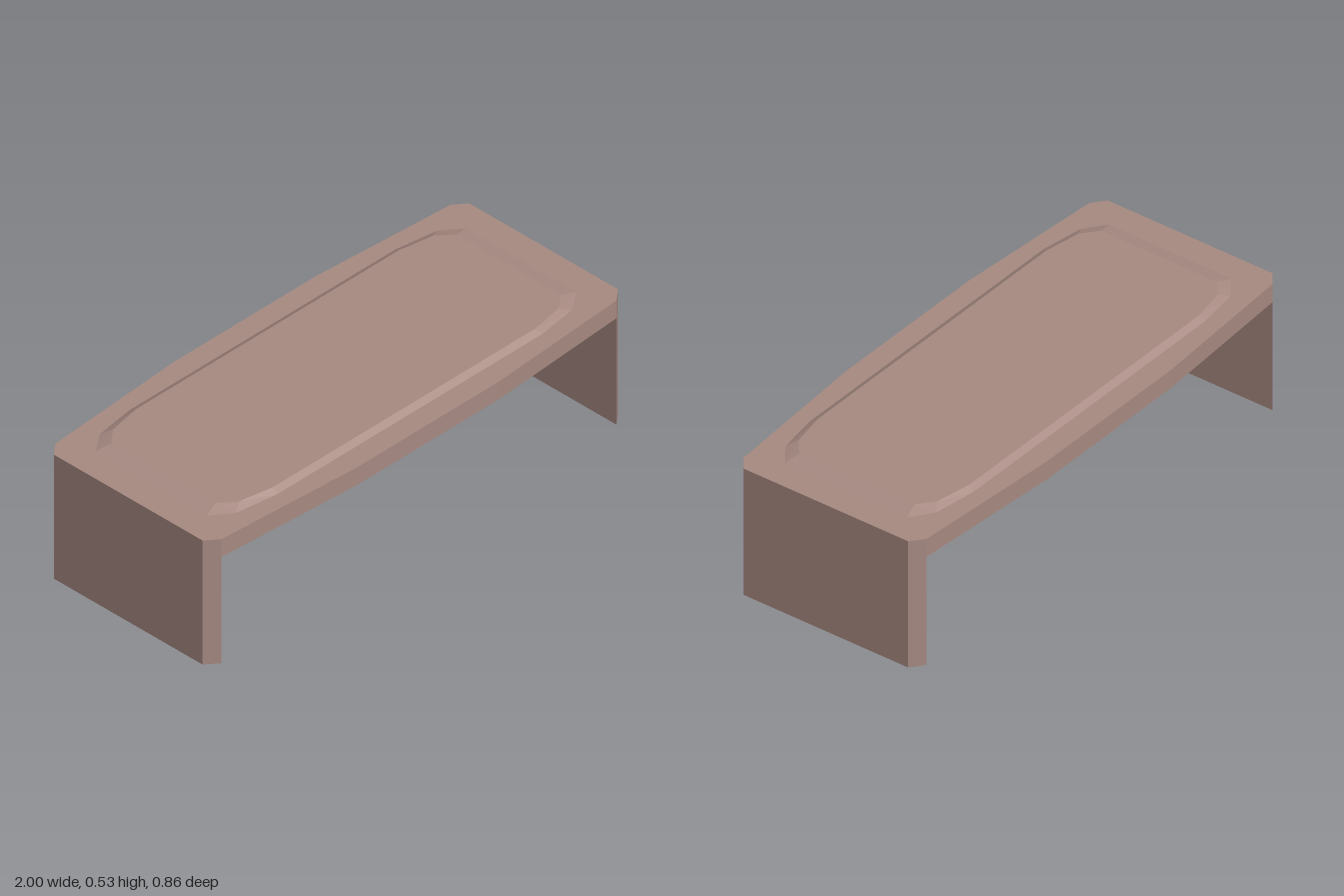
import * as THREE from 'three';

// Mirrors a quarter outline of [x, z] points into a full closed ring.
function mirrorRing(quarter) {
  const half = [...quarter, ...quarter.map(([x, z]) => [-x, z]).reverse()];
  return [...half, ...half.map(([x, z]) => [-x, -z])];
}

// Flat-faced solid joining a lower ring at y0 to an upper ring at y1.
function loft(lower, y0, upper, y1) {
  const pos = [];
  const n = lower.length;
  const centre = (ring, y) => {
    const sum = ring.reduce((s, p) => [s[0] + p[0], s[1] + p[1]], [0, 0]);
    return [sum[0] / n, y, sum[1] / n];
  };
  const c0 = centre(lower, y0);
  const c1 = centre(upper, y1);
  for (let i = 0; i < n; i++) {
    const j = (i + 1) % n;
    const a = [lower[i][0], y0, lower[i][1]];
    const b = [lower[j][0], y0, lower[j][1]];
    const c = [upper[j][0], y1, upper[j][1]];
    const d = [upper[i][0], y1, upper[i][1]];
    pos.push(...a, ...d, ...c, ...a, ...c, ...b); // side
    pos.push(...c0, ...a, ...b, ...c1, ...c, ...d); // caps
  }
  const geo = new THREE.BufferGeometry();
  geo.setAttribute('position', new THREE.Float32BufferAttribute(pos, 3));
  geo.computeVertexNormals();
  return geo;
}

export function createModel() {
  const group = new THREE.Group();
  group.name = 'bench';
  const wood = new THREE.MeshStandardMaterial({ color: 0xa78a82 });
  wood.name = 'dusty brown';

  const add = (name, geo) => {
    const mesh = new THREE.Mesh(geo, wood);
    mesh.name = name;
    group.add(mesh);
    return mesh;
  };

  // Bowed slab with clipped corners
  const slab = mirrorRing([[1, 0.35], [0.95, 0.39], [0.34, 0.43]]);
  add('topSlab', loft(slab, 0.443, slab, 0.517));

  // Raised panel with bevelled rim
  const rim = mirrorRing([[0.89, 0.26], [0.81, 0.32], [0.64, 0.345]]);
  const face = mirrorRing([[0.83, 0.245], [0.77, 0.295], [0.63, 0.32]]);
  add('raisedPanel', loft(rim, 0.517, face, 0.531));

  // Solid end legs, flush with the slab ends
  const end = [[1, -0.35], [1, 0.35], [0.95, 0.39], [0.95, -0.39]];
  const leg = loft(end, 0, end, 0.443);
  add('leftLeg', leg);
  add('rightLeg', leg).rotation.y = Math.PI;

  return group;
}
